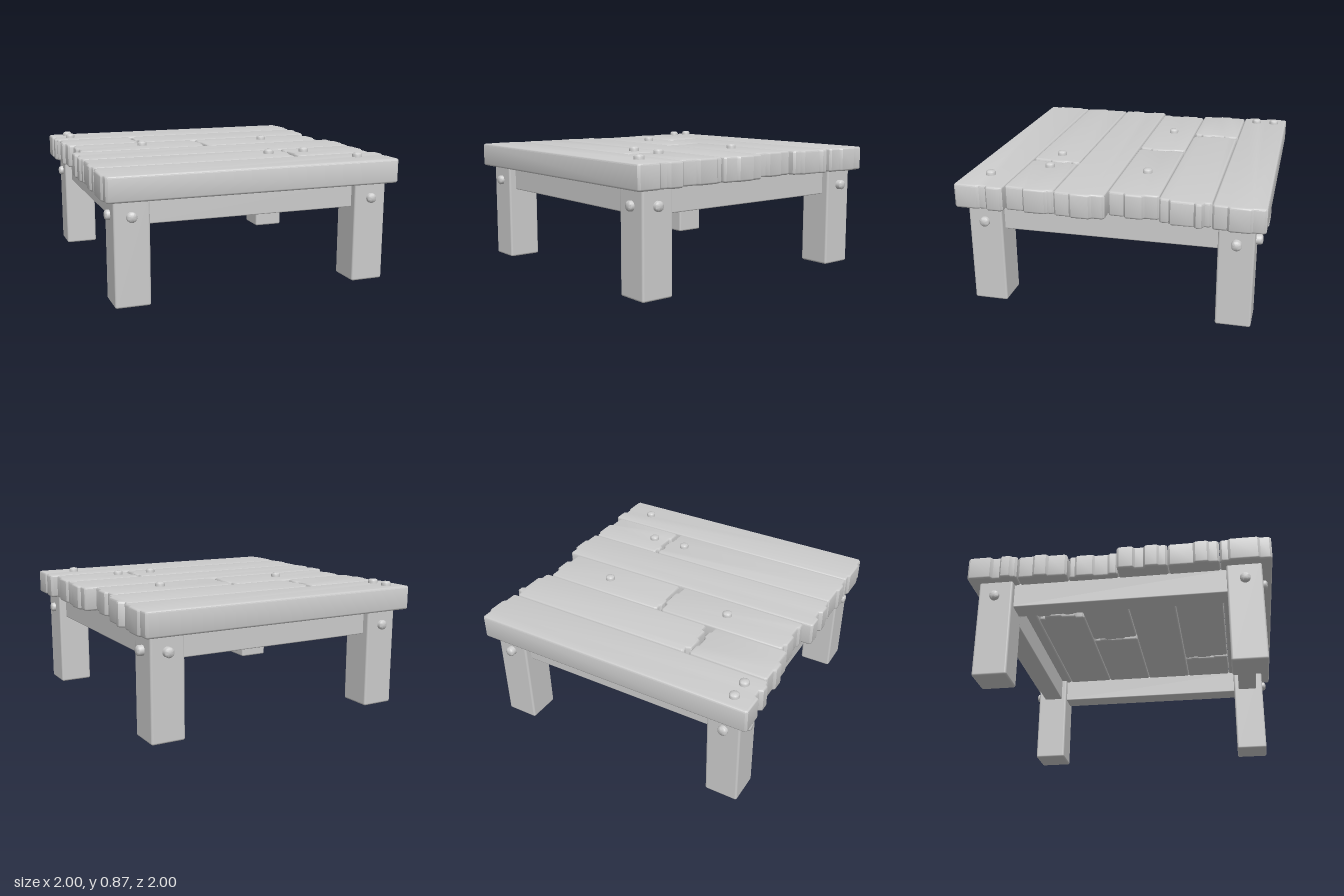
import * as THREE from 'three';
import { RoundedBoxGeometry } from 'three/addons/geometries/RoundedBoxGeometry.js';
import { toCreasedNormals } from 'three/addons/utils/BufferGeometryUtils.js';

const TOP = 0.835, THICK = 0.163, BEVEL = 0.014;
const PITCH = 1 / 3, WIDTH = 0.33;

// Ragged plank ends: x, then [distance across the plank, new x] at each step.
// Each plank: row, left end, right end.
const PLANKS = [
  [0, [-1, 0.16, -0.977, 0.22, -1, 0.29, -0.985], [0.985, 0.09, 0.998, 0.23, 0.98]],
  [1, [-0.97, 0.11, -0.985, 0.2, -0.965], [-0.425, 0.1, -0.442, 0.2, -0.428, 0.27, -0.445]],
  [1, [-0.385, 0.05, -0.418, 0.17, -0.402, 0.27, -0.38], [0.955, 0.05, 0.993, 0.1, 0.972, 0.26, 0.947]],
  [2, [-0.922, 0.05, -0.938, 0.17, -0.922, 0.27, -0.935], [-0.02, 0.09, -0.002, 0.24, -0.02]],
  [2, [0.014, 0.05, 0.003, 0.13, 0.014], [0.91, 0.1, 0.93, 0.22, 0.905]],
  [3, [-1, 0.11, -0.977, 0.18, -1, 0.27, -0.987], [0.98, 0.09, 0.998, 0.22, 0.982]],
  [4, [-0.985, 0.17, -1, 0.26, -0.987], [0.408, 0.05, 0.395, 0.1, 0.408, 0.2, 0.39]],
  [4, [0.43, 0.05, 0.418, 0.1, 0.432, 0.23, 0.418], [0.965, 0.05, 0.98, 0.2, 0.957]],
  [5, [-0.987, 0.06, -1, 0.25, -0.987], [0.998, 0.11, 0.975, 0.17, 0.987]],
];

// Turns a ragged end into outline points, with chamfered corners
function endPoints(end, z0, side) {
  const last = end[end.length - 1], c = 0.014;
  const pts = [[end[0] - side * c, z0], [end[0], z0 + c]];
  for (let i = 1; i < end.length; i += 2) {
    pts.push([end[i - 1], z0 + end[i] - 0.008], [end[i + 1], z0 + end[i] + 0.008]);
  }
  pts.push([last, z0 + WIDTH - c], [last - side * c, z0 + WIDTH]);
  return pts.map(([x, z]) => new THREE.Vector2(x, z));
}

function plankGeometry(row, left, right) {
  const z0 = -1 + row * PITCH + (PITCH - WIDTH) / 2;
  const outline = [...endPoints(right, z0, 1), ...endPoints(left, z0, -1).reverse()];
  const geo = new THREE.ExtrudeGeometry(new THREE.Shape(outline), {
    depth: THICK - 2 * BEVEL, bevelEnabled: true, bevelSize: BEVEL,
    bevelThickness: BEVEL, bevelOffset: -BEVEL, bevelSegments: 3,
  });
  geo.rotateX(Math.PI / 2).translate(0, TOP - BEVEL, 0);
  return toCreasedNormals(geo, 0.6);
}

export function createModel() {
  const model = new THREE.Group();
  model.name = 'lowTable';
  const material = new THREE.MeshStandardMaterial({ color: 0xcccccc });
  const add = (name, geo, x = 0, y = 0, z = 0) => {
    const mesh = new THREE.Mesh(geo, material);
    mesh.name = name;
    mesh.position.set(x, y, z);
    model.add(mesh);
    return mesh;
  };

  // Table top
  for (const [row, left, right] of PLANKS) add('plank', plankGeometry(row, left, right));

  // Domed bolt head, axis along y, base at 0
  const boltProfile = [[0.033, -0.02], [0.033, 0.016], [0.03, 0.023], [0.022, 0.029], [0, 0.031]];
  const boltGeo = toCreasedNormals(
    new THREE.LatheGeometry(boltProfile.map(p => new THREE.Vector2(...p)), 20), 0.7);

  // Bolts in the top
  const topBolts = [[-0.87, -0.905], [-0.87, -0.77], [-0.45, -0.17], [0.5, -0.17],
    [0.265, 0.5], [0.53, 0.5], [0.765, 0.83]];
  for (const [x, z] of topBolts) add('topBolt', boltGeo, x, TOP, z);

  // Legs, each with a bolt on its two outer faces
  const legGeo = new RoundedBoxGeometry(0.228, 0.69, 0.228, 3, 0.014);
  for (const sx of [-1, 1]) for (const sz of [-1, 1]) {
    add('leg', legGeo, sx * 0.817, 0.345, sz * 0.817);
    const proud = sx > 0 && sz < 0 ? 0.012 : 0;
    add('legBolt', boltGeo, sx * 0.82, 0.57, sz * (0.931 + proud)).rotation.x = sz * Math.PI / 2;
    add('legBolt', boltGeo, sx * (0.931 + proud), 0.57, sz * 0.82).rotation.z = -sx * Math.PI / 2;
  }

  // Rails under the top, joining the legs
  const railGeo = new RoundedBoxGeometry(1.5, 0.175, 0.14, 2, 0.008);
  for (const s of [-1, 1]) {
    add('longRail', railGeo, 0, 0.594, s * 0.81);
    add('sideRail', railGeo, s * 0.81, 0.594, 0).rotation.y = Math.PI / 2;
  }
  return model;
}
